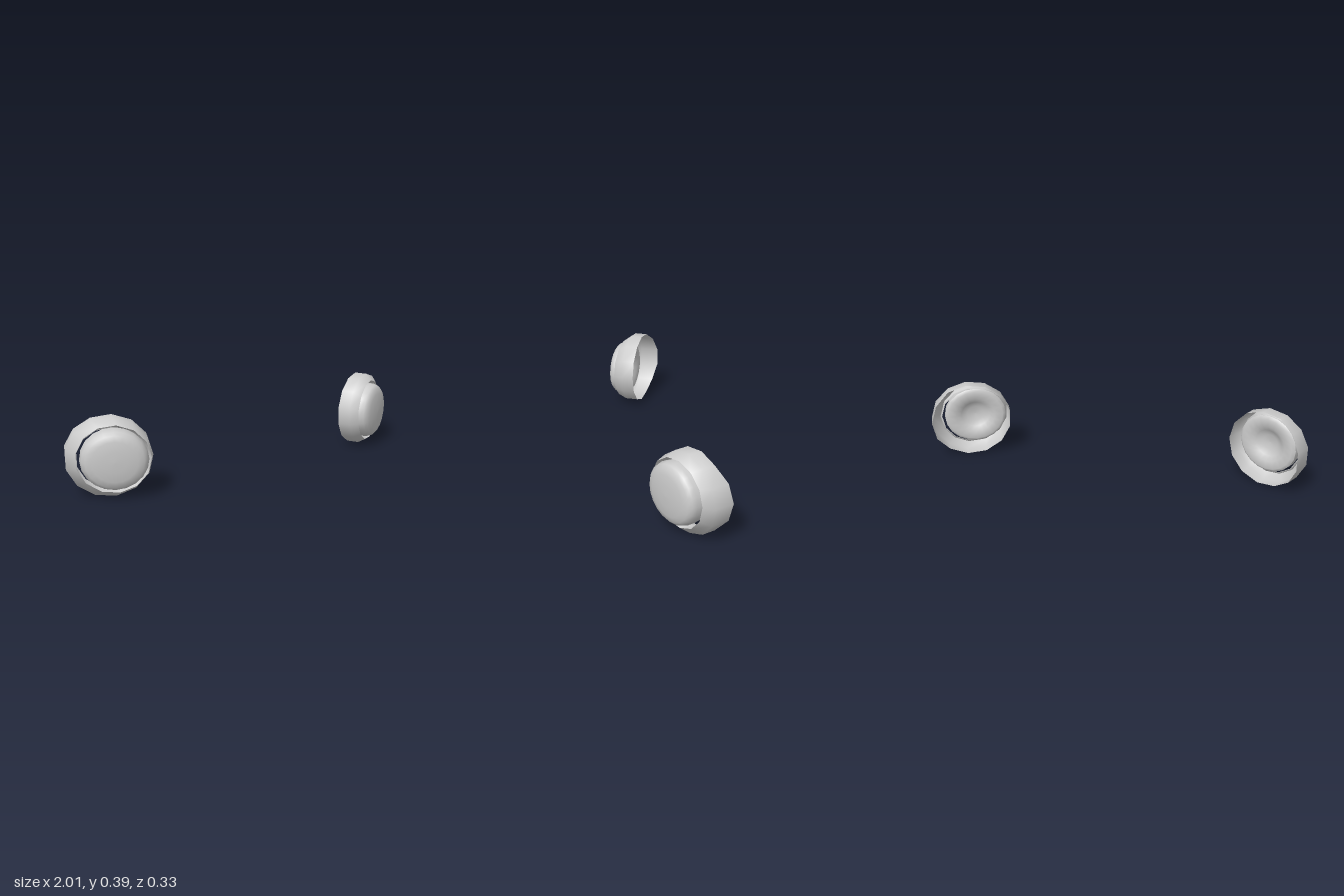
import * as THREE from 'three';

// Turned profile of [radius, depth] points, its axis laid along +z
function turned(profile, sides, phase, rule) {
  const g = new THREE.LatheGeometry(profile.map(([r, d]) => new THREE.Vector2(r, d)), sides, phase);
  g.rotateX(Math.PI / 2);
  const p = g.attributes.position;
  for (let i = 0; i < p.count; i++) {
    const [x, y, z] = rule(p.getX(i), p.getY(i), p.getZ(i));
    p.setXYZ(i, x, y, z);
  }
  return g;
}

export function createModel() {
  const grey = new THREE.MeshStandardMaterial({ color: 0xcccccc, side: THREE.DoubleSide });
  grey.name = 'light grey';
  const model = new THREE.Group();
  model.name = 'headlampPair';

  for (const side of [1, -1]) {
    const lamp = new THREE.Group();
    lamp.name = side > 0 ? 'leftHeadlamp' : 'rightHeadlamp';
    const add = (name, geometry) => {
      const mesh = new THREE.Mesh(geometry, grey);
      mesh.name = name;
      lamp.add(mesh);
    };

    // Slightly oval shell: leans inward at the front, swept back at the outer rear edge
    const shellRule = (x, y, z) => {
      const u = side * x * 1.08 + 0.01 - 0.5 * Math.max(0, z - 0.02);
      const sweep = z < -0.03 ? 0.38 * Math.max(0, u - 0.13) : 0;
      const lean = z > 0.03 ? 0.05 * u : 0;
      return [side * u, y, z - sweep - lean];
    };
    const phase = Math.PI / 13 * 0.6;
    add('housing', turned([[0.197, -0.045], [0.197, 0.022], [0.168, 0.062]], 13, phase, shellRule));
    add('innerRim', turned([[0.168, 0.062], [0.157, 0.03], [0.148, 0.028]], 13, phase, shellRule));

    // Domed lens and the dished reflector behind it
    const lensRule = (x, y, z) => [x * 1.1 - side * 0.015, y, z - 0.03 * side * x];
    add('lens', turned([[0.15, 0.028], [0.15, 0.068], [0.143, 0.09], [0.128, 0.104],
      [0.1, 0.113], [0.05, 0.119], [0, 0.12]], 20, 0, lensRule));
    add('reflector', turned([[0.15, 0.028], [0.135, 0.014], [0.095, 0.018],
      [0.07, 0.034], [0.04, 0.05], [0, 0.052]], 20, 0, lensRule));

    lamp.position.set(side * 0.8, 0.196, 0);
    lamp.rotation.y = side * 0.445;
    model.add(lamp);
  }
  return model;
}
